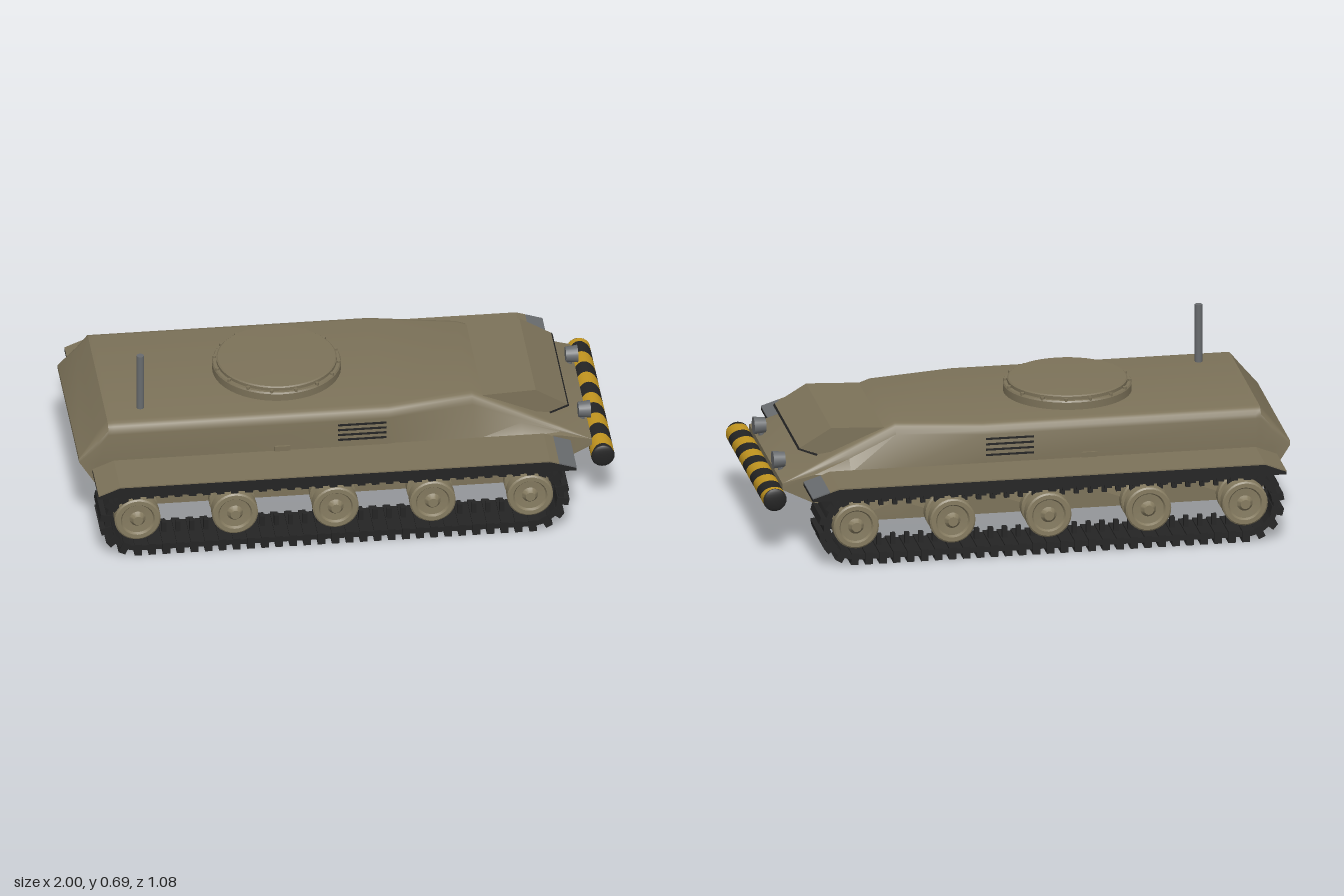
import * as THREE from 'three';
import { mergeGeometries, toCreasedNormals } from 'three/addons/utils/BufferGeometryUtils.js';

const paint = (name, color) => {
  const m = new THREE.MeshStandardMaterial({ color });
  m.name = name;
  return m;
};

// Prism with an x-y outline, spanning z0..z1
const prism = (pts, z0, z1) => {
  const shape = new THREE.Shape(pts.map(([x, y]) => new THREE.Vector2(x, y)));
  return new THREE.ExtrudeGeometry(shape, { depth: z1 - z0, bevelEnabled: false }).translate(0, 0, z0);
};

// Piecewise linear lookup
const lerpTable = (table, x) => {
  let i = 0;
  while (i < table.length - 2 && x > table[i + 1][0]) i++;
  const [x0, a] = table[i], [x1, b] = table[i + 1];
  return a + (b - a) * THREE.MathUtils.clamp((x - x0) / (x1 - x0), 0, 1);
};

// Hull lofted through cross-sections along x, with rounded shoulders
function hullGeometry() {
  const top = [[-1, 0.325], [-0.89, 0.46], [0.48, 0.46], [0.92, 0.275]];
  const bottom = [[-1, 0.31], [-0.93, 0.2], [-0.87, 0.11], [0.66, 0.11], [0.8, 0.19], [0.92, 0.25]];
  const shoulder = [[-1, 0.345], [0.16, 0.345], [0.48, 0.285], [0.92, 0.345]];
  const stations = [-1, -0.93, -0.89, -0.87, 0.16, 0.48, 0.66, 0.8, 0.92];
  const loops = stations.map((x) => {
    const t = lerpTable(top, x), b = lerpTable(bottom, x), w = lerpTable(shoulder, x);
    const mid = THREE.MathUtils.clamp(0.3, b, t);
    const r = Math.min(0.04, (t - mid) * 0.8);
    const half = [[b, 0.345], [mid, 0.345], [t - r, w], [t - 0.6 * r, w - 0.08 * r],
      [t - 0.29 * r, w - 0.29 * r], [t - 0.08 * r, w - 0.6 * r], [t, w - r]];
    return [...half, ...half.map(([y, z]) => [y, -z]).reverse()].map(([y, z]) => [x, y, z]);
  });
  const pos = [];
  const n = loops[0].length;
  const tri = (...p) => p.forEach((v) => pos.push(...v));
  for (let i = 0; i < loops.length - 1; i++) {
    for (let j = 0; j < n; j++) {
      const k = (j + 1) % n;
      const a = loops[i][j], b = loops[i][k], c = loops[i + 1][k], d = loops[i + 1][j];
      tri(a, d, c);
      tri(a, c, b);
    }
  }
  const first = loops[0], last = loops[loops.length - 1];
  for (let j = 1; j < n - 1; j++) {
    tri(first[0], first[j], first[j + 1]);
    tri(last[0], last[j + 1], last[j]);
  }
  const g = new THREE.BufferGeometry();
  g.setAttribute('position', new THREE.Float32BufferAttribute(pos, 3));
  return toCreasedNormals(g, 0.5);
}

const WHEELS = [-0.8, -0.435, -0.058, 0.305, 0.67];
const AXLE = 0.145;

// Point and outward angle at distance s along the track loop
function trackPoint(s, r) {
  const x0 = WHEELS[0], x1 = WHEELS[4], len = x1 - x0, arc = Math.PI * r;
  if (s < len) return [x0 + s, AXLE, -Math.PI / 2];
  s -= len;
  if (s < arc) return [x1, AXLE, -Math.PI / 2 + s / r];
  s -= arc;
  if (s < len) return [x1 - s, AXLE, Math.PI / 2];
  return [x0, AXLE, Math.PI / 2 + (s - len) / r];
}

function trackGeometry() {
  const stadium = (Type, r) => {
    const p = new Type();
    p.absarc(WHEELS[4], AXLE, r, -Math.PI / 2, Math.PI / 2);
    p.absarc(WHEELS[0], AXLE, r, Math.PI / 2, Math.PI * 1.5);
    p.closePath();
    return p;
  };
  const band = stadium(THREE.Shape, 0.125);
  band.holes.push(stadium(THREE.Path, 0.105));
  const parts = [new THREE.ExtrudeGeometry(band, { depth: 0.172, bevelEnabled: false, curveSegments: 10 })
    .translate(0, 0, -0.086).toNonIndexed?.() ?? null];
  const r = 0.12, count = 70;
  const total = 2 * (WHEELS[4] - WHEELS[0]) + 2 * Math.PI * r;
  for (let i = 0; i < count; i++) {
    const [x, y, a] = trackPoint((i * total) / count, r);
    // cleat, then the guide horn running between the wheel discs
    for (const [d, h, t, w] of [[0.122, 0.046, 0.028, 0.18], [0.082, 0.05, 0.018, 0.02]]) {
      parts.push(new THREE.BoxGeometry(h, t, w).translate(d, 0, 0).rotateZ(a).translate(x, y, 0).toNonIndexed());
    }
  }
  return mergeGeometries(parts);
}

// Road wheel disc with rim, dished face and hub
function wheelGeometry() {
  const half = [[0, 0.034], [0.018, 0.034], [0.022, 0.026], [0.03, 0.016], [0.058, 0.018],
    [0.064, 0.027], [0.08, 0.027], [0.086, 0.022]];
  const pts = [...half, ...half.map(([r, h]) => [r, -h]).reverse()].reverse();
  const g = new THREE.LatheGeometry(pts.map(([r, h]) => new THREE.Vector2(r, h)), 28);
  return toCreasedNormals(g.rotateX(Math.PI / 2), 0.5);
}

export function createModel() {
  const root = new THREE.Group();
  root.name = 'trackedVehicle';
  const tan = paint('olive tan', 0x7c7259);
  const wheelTan = paint('wheel tan', 0x857b60);
  const black = paint('track black', 0x242424);
  const grey = paint('worn grey', 0x686b6e);
  const yellow = paint('warning yellow', 0xc2951f);
  const add = (name, geo, mat, x = 0, y = 0, z = 0, parent = root) => {
    const m = new THREE.Mesh(geo, mat);
    m.name = name;
    m.position.set(x, y, z);
    parent.add(m);
    return m;
  };

  add('hull', hullGeometry(), tan);

  // Raised bow plate with its dark lip
  add('bowPlate', prism([[0.48, 0.44], [0.56, 0.38], [0.77, 0.352], [0.84, 0.38], [0.72, 0.452], [0.56, 0.445]], -0.26, 0.26), tan);
  add('bowPlateLip', prism([[0.775, 0.346], [0.845, 0.374], [0.84, 0.381], [0.77, 0.353]], -0.26, 0.26), black);

  // Low round hatch with a bolted flange
  const hatchProfile = [[0.24, 0.45], [0.24, 0.488], [0.236, 0.494], [0.224, 0.494], [0.224, 0.506],
    [0.219, 0.51], [0.12, 0.513], [0, 0.514]];
  add('turretHatch', toCreasedNormals(new THREE.LatheGeometry(hatchProfile.map(([r, y]) => new THREE.Vector2(r, y)), 48), 0.4), tan, -0.22);
  for (let i = 0; i < 16; i++) {
    const a = ((i + 0.5) * Math.PI) / 8;
    add('hatchBolt', new THREE.CylinderGeometry(0.007, 0.007, 0.012, 8), tan, -0.22 + 0.232 * Math.cos(a), 0.496, 0.232 * Math.sin(a));
  }

  add('antenna', new THREE.CylinderGeometry(0.014, 0.014, 0.235, 14), grey, -0.757, 0.5675, 0.225);

  // Striped bumper: slanted slices of one cylinder
  const bumper = new THREE.Group();
  bumper.name = 'bumper';
  bumper.position.set(0.956, 0.228, 0);
  root.add(bumper);
  const pitch = 0.074, R = 0.044;
  for (let i = -6; i <= 6; i++) {
    const g = new THREE.CylinderGeometry(R, R, pitch, 24, 1, true).rotateX(Math.PI / 2);
    const p = g.attributes.position;
    for (let v = 0; v < p.count; v++) {
      p.setZ(v, THREE.MathUtils.clamp(p.getZ(v) + i * pitch - 0.8 * p.getY(v), -0.39, 0.39));
    }
    add('bumperStripe', g, i % 2 ? yellow : black, 0, 0, 0, bumper);
  }

  const wheel = wheelGeometry();
  const track = trackGeometry();
  for (const s of [1, -1]) {
    const side = new THREE.Group();
    side.name = s > 0 ? 'leftSide' : 'rightSide';
    root.add(side);
    const put = (name, geo, mat, x = 0, y = 0, z = 0) => add(name, geo, mat, x, y, s * z, side);
    const span = (pts, a, b) => (s > 0 ? prism(pts, a, b) : prism(pts, -b, -a));

    put('track', track, black, 0, 0, 0.436);
    for (const x of WHEELS) {
      put('roadWheelOuter', wheel, wheelTan, x, AXLE, 0.484);
      put('roadWheelInner', wheel, wheelTan, x, AXLE, 0.388);
      put('axle', new THREE.CylinderGeometry(0.02, 0.02, 0.15, 12).rotateX(Math.PI / 2), wheelTan, x, AXLE, 0.42);
      // Swing arm from the hull to the axle
      const lean = x > 0.5 ? -1 : 1;
      put('swingArm', new THREE.BoxGeometry(0.15, 0.035, 0.03).rotateZ(lean * 0.35), wheelTan, x + lean * 0.07, 0.17, 0.36);
    }

    // Fender: dark body, painted top, bare front corner
    put('fender', span([[-0.95, 0.262], [0.84, 0.262], [0.84, 0.272], [0.74, 0.304], [-0.87, 0.304], [-0.95, 0.272]], 0.34, 0.54), black);
    put('fenderTop', span([[-0.95, 0.272], [-0.87, 0.304], [0.74, 0.304], [0.775, 0.293], [0.775, 0.298], [0.74, 0.309], [-0.87, 0.309], [-0.95, 0.277]], 0.34, 0.54), tan);
    put('fenderFrontCorner', span([[0.775, 0.293], [0.84, 0.272], [0.84, 0.277], [0.775, 0.298]], 0.34, 0.54), grey);

    // Side grille and small fittings
    for (let i = 0; i < 4; i++) {
      put('grilleSlot', new THREE.BoxGeometry(0.18, 0.007, 0.008), black, 0.06, 0.34 + i * 0.021, 0.345);
    }
    put('sideLatch', new THREE.BoxGeometry(0.06, 0.02, 0.012), tan, -0.24, 0.32, 0.347);

    // Headlight on a short stalk
    put('headlight', new THREE.CylinderGeometry(0.033, 0.028, 0.045, 20).rotateZ(-Math.PI / 2), grey, 0.908, 0.32, 0.2);
    put('headlightStalk', new THREE.CylinderGeometry(0.01, 0.01, 0.05, 8), grey, 0.9, 0.28, 0.2);

    // Bumper end and bracket
    put('bumperEnd', new THREE.SphereGeometry(R, 24, 12).scale(1, 1, 0.25), black, 0.956, 0.228, 0.39);
    put('bumperBracket', new THREE.BoxGeometry(0.14, 0.03, 0.04), grey, 0.88, 0.235, 0.24);
  }
  return root;
}
